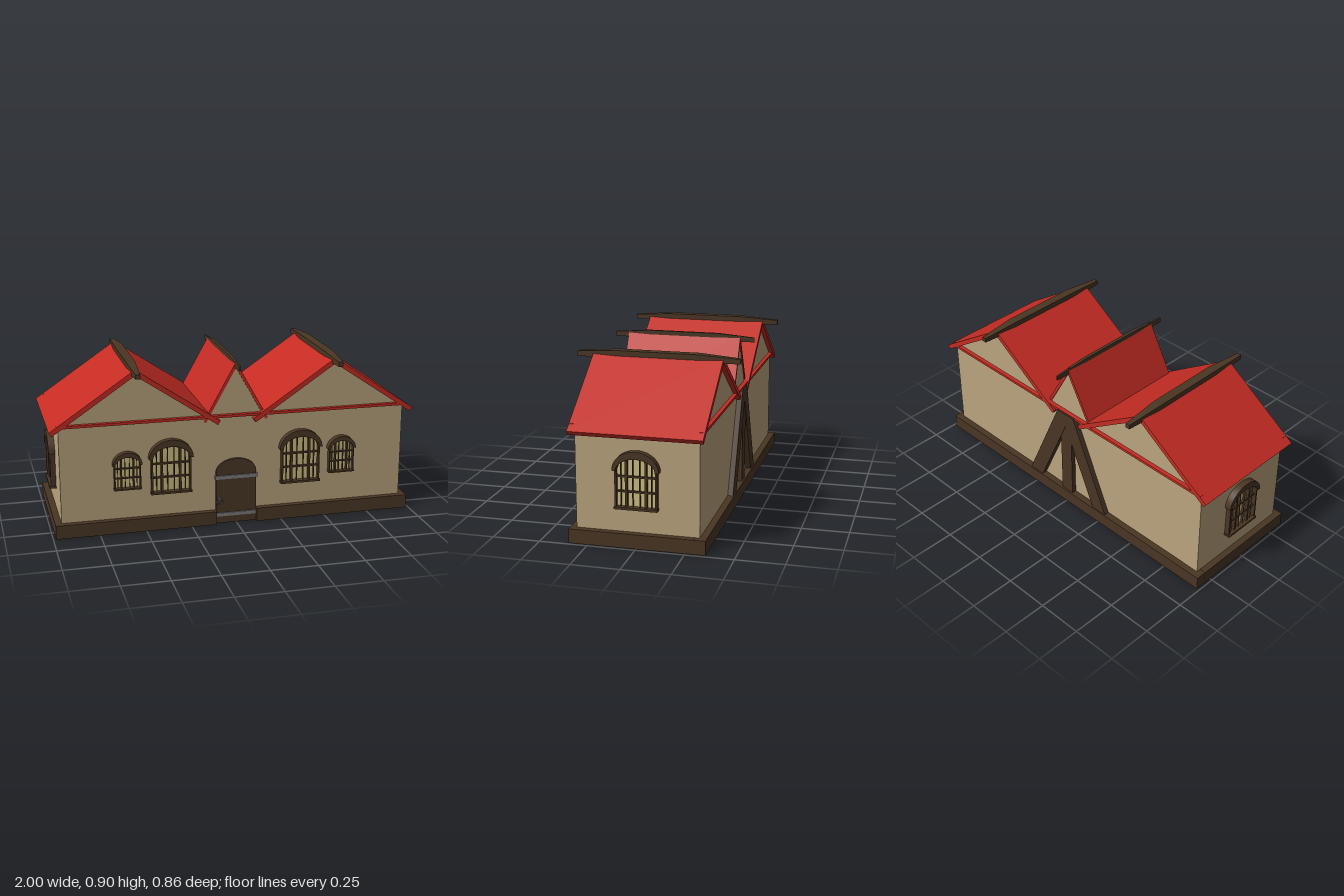
import * as THREE from 'three';

const mat = (name, color) => {
  const m = new THREE.MeshStandardMaterial({ color });
  m.name = name;
  return m;
};

export function createModel() {
  const plaster = mat('plaster', 0xbba57e);
  const red = mat('redRoof', 0xc42c23);
  const wood = mat('darkWood', 0x4a3624);
  const pane = mat('paleGlass', 0xd0c084);
  const iron = mat('iron', 0x7d7d80);
  const house = new THREE.Group();
  house.name = 'house';

  const add = (parent, name, geo, m, x = 0, y = 0, z = 0) => {
    const mesh = new THREE.Mesh(geo, m);
    mesh.name = name;
    mesh.position.set(x, y, z);
    parent.add(mesh);
    return mesh;
  };
  const box = (parent, name, m, w, h, d, x, y, z) =>
    add(parent, name, new THREE.BoxGeometry(w, h, d), m, x, y, z);
  const extrude = (shape, depth) =>
    new THREE.ExtrudeGeometry(shape, { depth, bevelEnabled: false, curveSegments: 16 });
  const poly = (pts) => new THREE.Shape(pts.map(([x, y]) => new THREE.Vector2(x, y)));
  const arch = (w, y0, spring, rise) => {
    const s = new THREE.Shape();
    s.moveTo(-w, y0);
    s.lineTo(w, y0);
    s.lineTo(w, spring);
    s.absellipse(0, spring, w, rise, 0, Math.PI, false);
    s.closePath();
    return s;
  };

  // Hollow walls, open underneath
  for (const s of [1, -1]) {
    box(house, 'longWall', plaster, 1.9, 0.61, 0.02, 0, 0.305, s * 0.307);
    box(house, 'endWall', plaster, 0.02, 0.61, 0.594, s * 0.94, 0.305, 0);
  }

  // Plinth ring with a gap for the door
  box(house, 'backPlinth', wood, 1.97, 0.075, 0.06, 0, 0.0375, -0.323);
  for (const s of [1, -1]) {
    box(house, 'endPlinth', wood, 0.06, 0.075, 0.585, s * 0.955, 0.0375, 0);
    box(house, 'frontPlinth', wood, 0.873, 0.075, 0.06, s * 0.5485, 0.0375, 0.32);
  }

  // Roof chevron, its two gable panels and a tapering ridge beam
  const roof = (cx, half, eave, peak, t, depth, gableZ, ridgeW, ridgeHalf) => {
    const g = new THREE.Group();
    g.name = 'gabledRoof';
    g.position.x = cx;
    house.add(g);
    const len = Math.hypot(half, peak - eave);
    const nx = t * (peak - eave) / len, ny = t * half / len;
    const inner = peak - t * len / half;
    const slab = poly([[-half, eave], [-half + nx, eave - ny], [0, inner],
      [half - nx, eave - ny], [half, eave], [0, peak]]);
    add(g, 'roofSlopes', extrude(slab, depth), red, 0, 0, -depth / 2);
    const top = inner + 0.005;
    const gw = (top - 0.6) * half / (peak - eave);
    const gable = poly([[-gw, 0.6], [gw, 0.6], [0, top]]);
    for (const s of [1, -1]) add(g, 'gable', extrude(gable, 0.02), plaster, 0, 0, s * (gableZ - 0.01) - 0.01);
    const beam = new THREE.BoxGeometry(ridgeW, 0.045, ridgeHalf * 2, 1, 1, 4).toNonIndexed();
    const p = beam.attributes.position;
    for (let i = 0; i < p.count; i++) {
      if (Math.abs(p.getZ(i)) > ridgeHalf * 0.9) {
        p.setX(i, p.getX(i) * 0.5);
        p.setY(i, p.getY(i) * 0.55 - 0.005);
      }
    }
    beam.computeVertexNormals();
    add(g, 'ridgeBeam', beam, wood, 0, 0.8825, 0);
  };
  for (const s of [1, -1]) roof(s * 0.545, 0.455, 0.586, 0.893, 0.026, 0.685, 0.317, 0.05, 0.43);
  roof(0, 0.178, 0.58, 0.898, 0.016, 0.635, 0.312, 0.018, 0.395);

  // Red trim along the wall tops
  for (const s of [1, -1]) box(house, 'eaveTrim', red, 1.92, 0.014, 0.024, 0, 0.608, s * 0.327);

  // Arched window, bottom at local y = 0, wall face at local z = 0
  const makeWindow = (x, y, z, turn, sx = 1, sy = 1) => {
    const g = new THREE.Group();
    g.name = 'archedWindow';
    g.position.set(x, y, z);
    g.rotation.y = turn;
    g.scale.set(sx, sy, 1);
    house.add(g);
    add(g, 'glass', new THREE.ShapeGeometry(arch(0.102, 0.005, 0.198, 0.064), 16), pane, 0, 0, 0.005);
    const frame = arch(0.108, 0, 0.198, 0.07);
    frame.holes.push(arch(0.099, 0.01, 0.198, 0.061));
    add(g, 'frame', extrude(frame, 0.051), wood, 0, 0, -0.023);
    const hood = new THREE.Shape();
    hood.absellipse(0, 0.198, 0.12, 0.102, 0, Math.PI, false);
    hood.lineTo(-0.1, 0.196);
    hood.absellipse(0, 0.198, 0.1, 0.064, Math.PI, 0, true);
    hood.closePath();
    add(g, 'hood', extrude(hood, 0.035), wood);
    box(g, 'sill', wood, 0.222, 0.012, 0.035, 0, 0.006, 0.0175);
    for (const [bx, bw] of [[0.05, 0.012], [0.078, 0.004], [0.018, 0.004]]) {
      const h = 0.2 + 0.062 * Math.sqrt(1 - (bx / 0.1) ** 2);
      for (const s of [1, -1]) box(g, 'verticalBar', wood, bw, h, bw + 0.008, s * bx, h / 2, 0.012);
    }
    for (const by of [0.09, 0.167]) box(g, 'crossBar', wood, 0.2, 0.008, 0.014, 0, by, 0.012);
  };
  for (const s of [1, -1]) {
    makeWindow(s * 0.36, 0.203, 0.317, 0);
    makeWindow(s * 0.595, 0.243, 0.317, 0, 0.66, 0.69);
    makeWindow(s * 0.95, 0.2, 0, s * Math.PI / 2);
  }

  // Door passing through the wall, with iron straps and a ring handle
  const door = new THREE.Group();
  door.name = 'door';
  house.add(door);
  add(door, 'doorLeaf', extrude(arch(0.112, 0, 0.29, 0.075), 0.04), wood, 0, 0, 0.29);
  for (const y of [0.05, 0.263]) box(door, 'doorStrap', iron, 0.236, 0.02, 0.052, 0, y, 0.31);
  box(door, 'handleStem', iron, 0.012, 0.012, 0.016, -0.095, 0.143, 0.337);
  add(door, 'handleRing', new THREE.TorusGeometry(0.014, 0.004, 6, 16), iron, -0.095, 0.128, 0.342);

  // Timber brace on the back wall
  const brace = new THREE.Group();
  brace.name = 'backBrace';
  house.add(brace);
  box(brace, 'centrePost', wood, 0.08, 0.54, 0.028, 0, 0.33, -0.329);
  for (const s of [1, -1]) {
    const leg = poly([[s * 0.31, 0.05], [s * 0.215, 0.05], [0, 0.53], [0, 0.612], [s * 0.06, 0.612]]);
    add(brace, 'slantedLeg', extrude(leg, 0.03), wood, 0, 0, -0.346);
  }
  return house;
}
